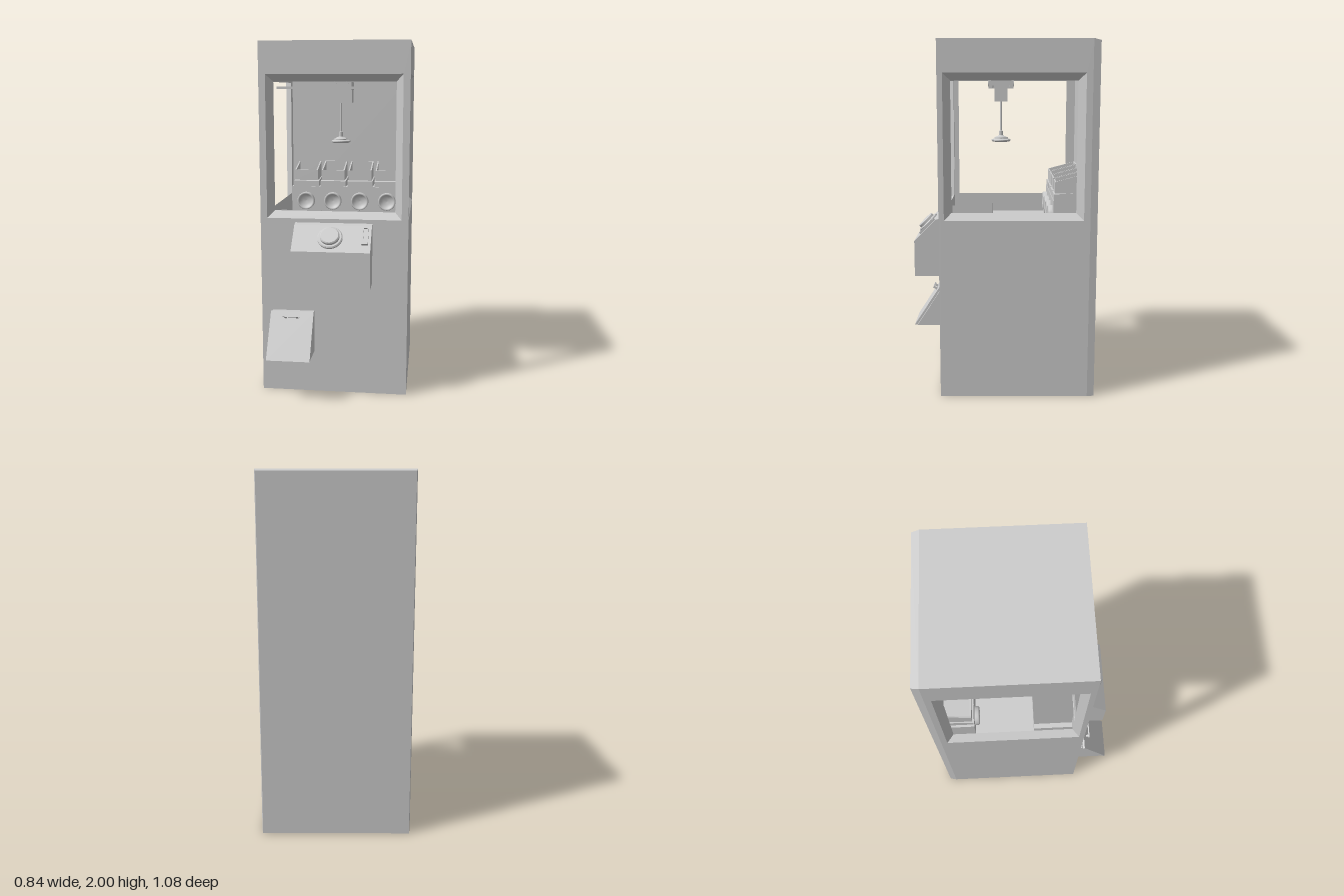
import * as THREE from 'three';

const mat = new THREE.MeshStandardMaterial({ color: 0xcccccc, side: THREE.DoubleSide, flatShading: true });
const smooth = new THREE.MeshStandardMaterial({ color: 0xcccccc, side: THREE.DoubleSide });

function add(parent, name, geometry, x = 0, y = 0, z = 0, material = mat) {
  const mesh = new THREE.Mesh(geometry, material);
  mesh.name = name;
  mesh.position.set(x, y, z);
  parent.add(mesh);
  return mesh;
}

const box = (p, name, w, h, d, x, y, z) => add(p, name, new THREE.BoxGeometry(w, h, d), x, y, z);
const cyl = (p, name, rTop, rBottom, h, x, y, z, sides = 32) =>
  add(p, name, new THREE.CylinderGeometry(rTop, rBottom, h, sides), x, y, z, smooth);

// Sheet geometry from a list of four-cornered faces
function sheet(quads) {
  const g = new THREE.BufferGeometry();
  const points = quads.flatMap(([a, b, c, d]) => [a, b, c, a, c, d]).flat();
  g.setAttribute('position', new THREE.Float32BufferAttribute(points, 3));
  g.computeVertexNormals();
  return g;
}

// Joins successive rectangles [u0, u1, v0, v1, depth], placed in space by a rule
function nested(rects, place) {
  const loops = rects.map(([u0, u1, v0, v1, d]) =>
    [[u0, v0], [u1, v0], [u1, v1], [u0, v1]].map(([u, v]) => place(u, v, d)));
  const quads = [];
  for (let i = 0; i + 1 < loops.length; i++) {
    for (let k = 0; k < 4; k++) {
      const n = (k + 1) % 4;
      quads.push([loops[i][k], loops[i][n], loops[i + 1][n], loops[i + 1][k]]);
    }
  }
  return sheet(quads);
}

// Extrudes a (z, y) side profile across x, centred on x = 0
function sideExtrude(profile, width) {
  const shape = new THREE.Shape(profile.map(([z, y]) => new THREE.Vector2(-z, y)));
  const g = new THREE.ExtrudeGeometry(shape, { depth: width, bevelEnabled: false });
  g.translate(0, 0, -width / 2);
  return g.rotateY(Math.PI / 2);
}

function buildCabinet(root) {
  const g = new THREE.Group();
  g.name = 'cabinet';
  root.add(g);
  const X = 0.418, F = 0.335, B = -0.5, R = -0.54, XR = 0.41;
  // Walls with a bevelled window and an inner lining
  add(g, 'frontWall', nested([
    [-X, X, 0, 2, 0], [-0.38, 0.38, 1.02, 1.82, 0],
    [-0.342, 0.342, 1.058, 1.78, 0.04], [-0.378, 0.378, 0.94, 1.8, 0.04],
  ], (u, v, d) => [u, v, F - d]));
  for (const s of [1, -1]) {
    add(g, s > 0 ? 'leftWall' : 'rightWall', nested([
      [B, F, 0, 2, 0], [-0.465, 0.305, 1.02, 1.82, 0],
      [-0.425, 0.265, 1.058, 1.78, 0.04], [-0.48, 0.295, 0.94, 1.8, 0.04],
    ], (u, v, d) => [s * (X - d), v, u]));
    add(g, 'rearChamfer', sheet([[[s * X, 0, B], [s * X, 2, B], [s * XR, 1.99, R], [s * XR, 0, R]]]));
  }
  add(g, 'backWall', sheet([[[XR, 0, R], [-XR, 0, R], [-XR, 1.99, R], [XR, 1.99, R]]]));
  add(g, 'roof', sheet([
    [[-X, 2, F], [X, 2, F], [X, 2, B], [-X, 2, B]],
    [[-X, 2, B], [X, 2, B], [XR, 1.99, R], [-XR, 1.99, R]],
  ]));
  // Play area lining
  const L = 0.378;
  add(g, 'innerBack', sheet([[[-L, 0.94, -0.48], [L, 0.94, -0.48], [L, 1.8, -0.48], [-L, 1.8, -0.48]]]));
  add(g, 'ceiling', sheet([[[-L, 1.8, -0.48], [L, 1.8, -0.48], [L, 1.8, 0.295], [-L, 1.8, 0.295]]]));
  add(g, 'playFloor', nested([[-L, L, -0.48, 0.295, 0.94], [-0.355, -0.11, 0.045, 0.29, 0.94]],
    (u, v, d) => [u, d, v]));
  // Prize chute
  add(g, 'chuteWalls', nested([[-0.355, -0.11, 0.045, 0.33, 1.02], [-0.355, -0.11, 0.045, 0.33, 0.26]],
    (u, v, d) => [u, d, v]));
  box(g, 'chuteBottom', 0.245, 0.01, 0.285, -0.2325, 0.257, 0.1875);
}

function buildClaw(root) {
  const g = new THREE.Group();
  g.name = 'clawAssembly';
  g.position.z = -0.008;
  root.add(g);
  for (const z of [-0.055, 0.055]) box(g, 'rail', 0.75, 0.014, 0.02, 0, 1.747, z);
  box(g, 'carriage', 0.14, 0.045, 0.145, 0, 1.757, 0);
  box(g, 'winchHousing', 0.14, 0.08, 0.075, 0, 1.7, 0);
  for (const x of [-0.035, 0.035]) {
    for (const z of [-0.068, 0.068]) cyl(g, 'wheel', 0.018, 0.018, 0.014, x, 1.765, z, 20).rotation.x = Math.PI / 2;
  }
  cyl(g, 'cable', 0.005, 0.005, 0.2, 0, 1.57, 0, 10);
  const profile = [[0, 1.425], [0.05, 1.425], [0.057, 1.431], [0.057, 1.437], [0.04, 1.443], [0.04, 1.449],
    [0.016, 1.459], [0.013, 1.462], [0.013, 1.488], [0, 1.49]].map(([r, y]) => new THREE.Vector2(r, y));
  add(g, 'clawHead', new THREE.LatheGeometry(profile, 32));
}

function buildBins(root) {
  const g = new THREE.Group();
  g.name = 'prizeBins';
  root.add(g);
  box(g, 'binBase', 0.71, 0.18, 0.18, 0, 1.03, -0.39);
  const wall = [[-0.31, 1.16], [-0.31, 1.225], [-0.478, 1.27], [-0.478, 1.16]];
  const collar = [[-0.303, 1.12], [-0.303, 1.155], [-0.478, 1.168], [-0.478, 1.12]];
  const cup = [[0.045, 0.022], [0.05, 0.028], [0.056, 0.022], [0.056, 0]].map(([r, y]) => new THREE.Vector2(r, y));
  const bowl = [[0, 0.002], [0.02, 0.004], [0.037, 0.012], [0.045, 0.022]].map(([r, y]) => new THREE.Vector2(r, y));
  for (let i = 0; i < 4; i++) {
    const x = (i - 1.5) * 0.174;
    add(g, 'binCollar', sideExtrude(collar, 0.162), x);
    for (const s of [-1, 1]) add(g, 'binSide', sideExtrude(wall, 0.008), x + s * 0.07);
    box(g, 'binFront', 0.148, 0.065, 0.008, x, 1.1925, -0.314);
    box(g, 'binBack', 0.148, 0.11, 0.008, x, 1.215, -0.474);
    // Round dished cup
    for (const profile of [cup, bowl]) {
      add(g, 'cup', new THREE.LatheGeometry(profile, 32), x, 1.028, -0.3, smooth).rotation.x = Math.PI / 2;
    }
  }
}

function buildControls(root) {
  const g = new THREE.Group();
  g.name = 'controlPanel';
  root.add(g);
  add(g, 'panelBody', sideExtrude([[0.334, 0.655], [0.495, 0.655], [0.495, 0.865], [0.37, 0.99], [0.334, 0.998]], 0.436));
  // Fittings on the sloping face, local y is its normal
  const face = new THREE.Group();
  face.name = 'panelFittings';
  face.position.set(0, 0.9275, 0.4325);
  face.rotation.x = Math.PI / 4;
  g.add(face);
  const knob = [[0.07, 0], [0.07, 0.009], [0.064, 0.014], [0.054, 0.014], [0.054, 0.028], [0.048, 0.033], [0, 0.033]]
    .map(([r, y]) => new THREE.Vector2(r, y));
  add(face, 'button', new THREE.LatheGeometry(knob, 40), -0.008, 0, -0.003);
  for (const s of [-1, 1]) {
    box(face, 'slotSide', 0.008, 0.014, 0.115, 0.185 + s * 0.0135, 0.006, -0.02);
    box(face, 'slotEnd', 0.035, 0.014, 0.01, 0.185, 0.006, -0.02 + s * 0.0525);
  }
  box(face, 'slotPlate', 0.02, 0.006, 0.1, 0.185, 0.002, -0.02);
}

function buildDoor(root) {
  const g = new THREE.Group();
  g.name = 'prizeDoor';
  g.position.x = -0.2325;
  root.add(g);
  add(g, 'doorHousing', sideExtrude([[0.334, 0.245], [0.525, 0.245], [0.37, 0.483], [0.334, 0.483]], 0.24));
  add(g, 'doorFlap', sideExtrude([[0.527, 0.247], [0.541, 0.25], [0.385, 0.49], [0.373, 0.483]], 0.246));
  // Handle standing off the flap
  const handle = new THREE.Group();
  handle.name = 'handle';
  handle.position.set(0, 0.462, 0.403);
  handle.rotation.x = -0.577;
  g.add(handle);
  box(handle, 'handleBar', 0.096, 0.014, 0.008, 0, 0, 0.024);
  for (const s of [-1, 1]) box(handle, 'handlePost', 0.012, 0.012, 0.026, s * 0.034, -0.002, 0.01);
}

export function createModel() {
  const root = new THREE.Group();
  root.name = 'clawMachine';
  buildCabinet(root);
  buildClaw(root);
  buildBins(root);
  buildControls(root);
  buildDoor(root);
  return root;
}
